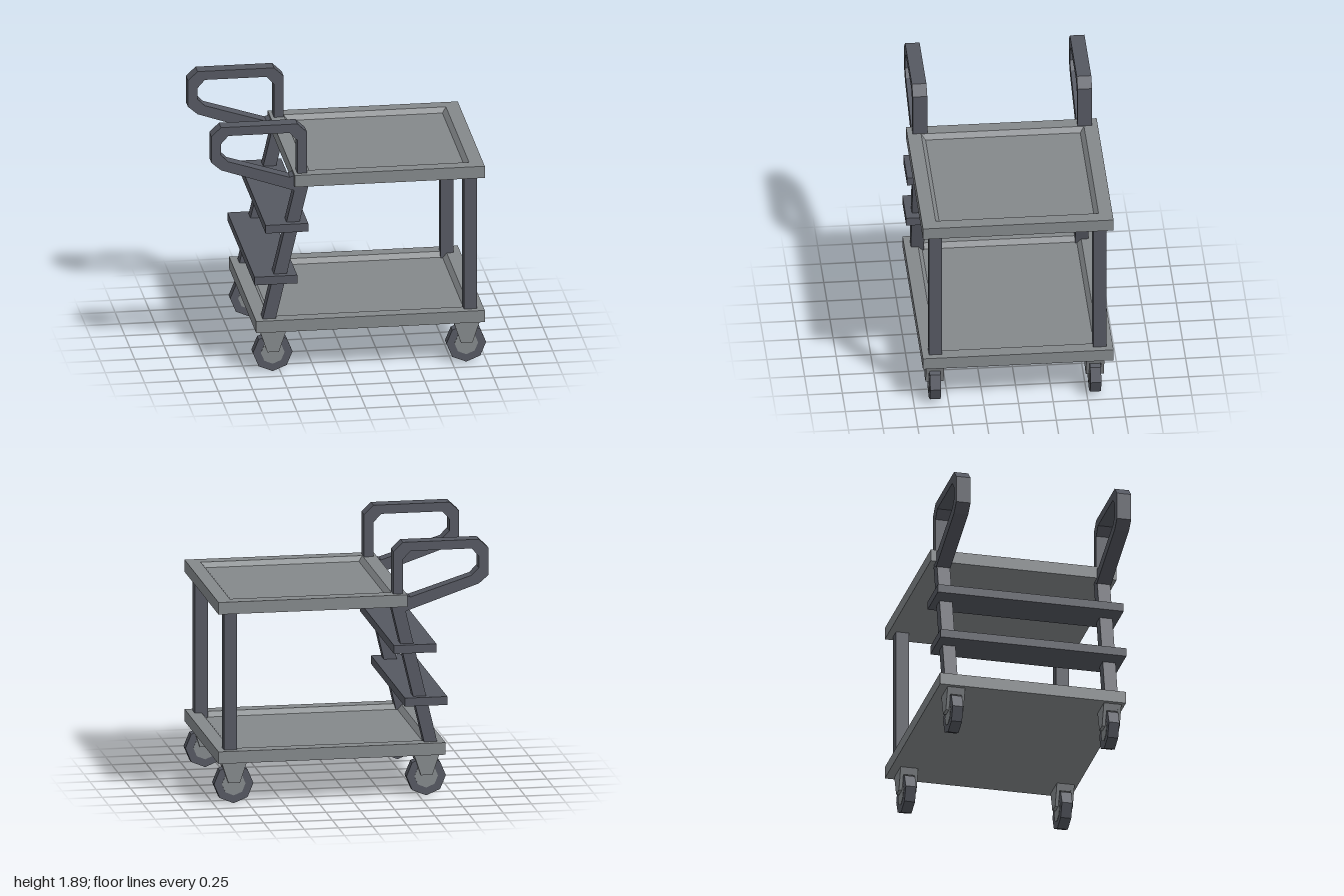
import * as THREE from 'three';

const lightGrey = new THREE.MeshStandardMaterial({ color: 0x84888b, flatShading: true });
lightGrey.name = 'light grey';
const darkGrey = new THREE.MeshStandardMaterial({ color: 0x555861, flatShading: true });
darkGrey.name = 'dark grey';

function add(parent, name, geometry, material, x = 0, y = 0, z = 0) {
  const mesh = new THREE.Mesh(geometry, material);
  mesh.name = name;
  mesh.position.set(x, y, z);
  parent.add(mesh);
  return mesh;
}

// Extrude a side-view outline, centred on z
function plate(points, depth, hole) {
  const shape = new THREE.Shape(points.map(p => new THREE.Vector2(...p)));
  if (hole) shape.holes.push(new THREE.Path(hole.map(p => new THREE.Vector2(...p))));
  return new THREE.ExtrudeGeometry(shape, { depth, bevelEnabled: false }).translate(0, 0, -depth / 2);
}

// Tray with a sunken floor and sloped inner walls, from rectangular loops
function trayGeometry(x0, x1, y0, y1, halfZ) {
  const loops = [[0, y0], [0, y1], [0.1, y1], [0.13, y1 - 0.035]].map(([inset, y]) => [
    [x0 + inset, y, halfZ - inset], [x1 - inset, y, halfZ - inset],
    [x1 - inset, y, -halfZ + inset], [x0 + inset, y, -halfZ + inset],
  ]);
  const pos = [];
  const quad = (a, b, c, d) => pos.push(...a, ...b, ...c, ...a, ...c, ...d);
  for (let i = 0; i < 3; i++) {
    for (let j = 0; j < 4; j++) {
      const k = (j + 1) % 4;
      quad(loops[i][j], loops[i][k], loops[i + 1][k], loops[i + 1][j]);
    }
  }
  quad(...loops[3]);
  quad(...[...loops[0]].reverse());
  const geometry = new THREE.BufferGeometry();
  geometry.setAttribute('position', new THREE.Float32BufferAttribute(pos, 3));
  geometry.computeVertexNormals();
  return geometry;
}

// Caster: octagonal wheel and hub held by a tapered fork
function caster(x, z) {
  const group = new THREE.Group();
  group.name = 'caster';
  group.position.set(x, 0, z);
  const disc = (r, w) => new THREE.CylinderGeometry(r, r, w, 8).rotateX(Math.PI / 2);
  add(group, 'wheel', disc(0.144, 0.078), darkGrey, 0, 0.144, 0);
  add(group, 'hub', disc(0.086, 0.084), lightGrey, 0, 0.144, 0);
  const side = [[-0.042, 0.155], [0.042, 0.155], [0.096, 0.318], [-0.096, 0.318]];
  for (const s of [-1, 1]) add(group, 'forkSide', plate(side, 0.024), lightGrey, 0, 0, s * 0.053);
  const crown = [[-0.078, 0.265], [0.078, 0.265], [0.096, 0.318], [-0.096, 0.318]];
  add(group, 'forkCrown', plate(crown, 0.084), lightGrey);
  return group;
}

export function createModel() {
  const cart = new THREE.Group();
  cart.name = 'cart';

  // Trays
  add(cart, 'topTray', trayGeometry(-0.4, 0.98, 1.418, 1.507, 0.688), lightGrey);
  add(cart, 'bottomTray', trayGeometry(-0.68, 0.98, 0.315, 0.404, 0.688), lightGrey);

  // Steps between the sloping legs
  const step = new THREE.BoxGeometry(0.31, 0.062, 1.376);
  add(cart, 'lowerStep', step, darkGrey, -0.537, 0.713, 0);
  add(cart, 'upperStep', step, darkGrey, -0.457, 1.105, 0);

  // Legs and handles, mirrored
  const leg = new THREE.BoxGeometry(0.095, 1.07, 0.095);
  const slopedLeg = plate([[-0.635, 0.365], [-0.54, 0.365], [-0.29, 1.425], [-0.385, 1.425]], 0.095);
  const handle = plate(
    [[-1, 1.62], [-0.93, 1.56], [-0.39, 1.375], [-0.305, 1.43], [-0.305, 1.82],
      [-0.375, 1.886], [-0.93, 1.886], [-1, 1.82]],
    0.105,
    [[-0.93, 1.675], [-0.93, 1.76], [-0.877, 1.82], [-0.43, 1.82], [-0.375, 1.76],
      [-0.375, 1.503], [-0.43, 1.48], [-0.877, 1.622]]);
  for (const s of [-1, 1]) {
    add(cart, 'uprightLeg', leg, darkGrey, 0.883, 0.895, s * 0.593);
    add(cart, 'slopedLeg', slopedLeg, darkGrey, 0, 0, s * 0.593);
    add(cart, 'handle', handle, darkGrey, 0, 0, s * 0.595);
  }

  // Casters
  for (const x of [-0.553, 0.853]) {
    for (const z of [0.597, -0.56]) cart.add(caster(x, z));
  }
  return cart;
}
